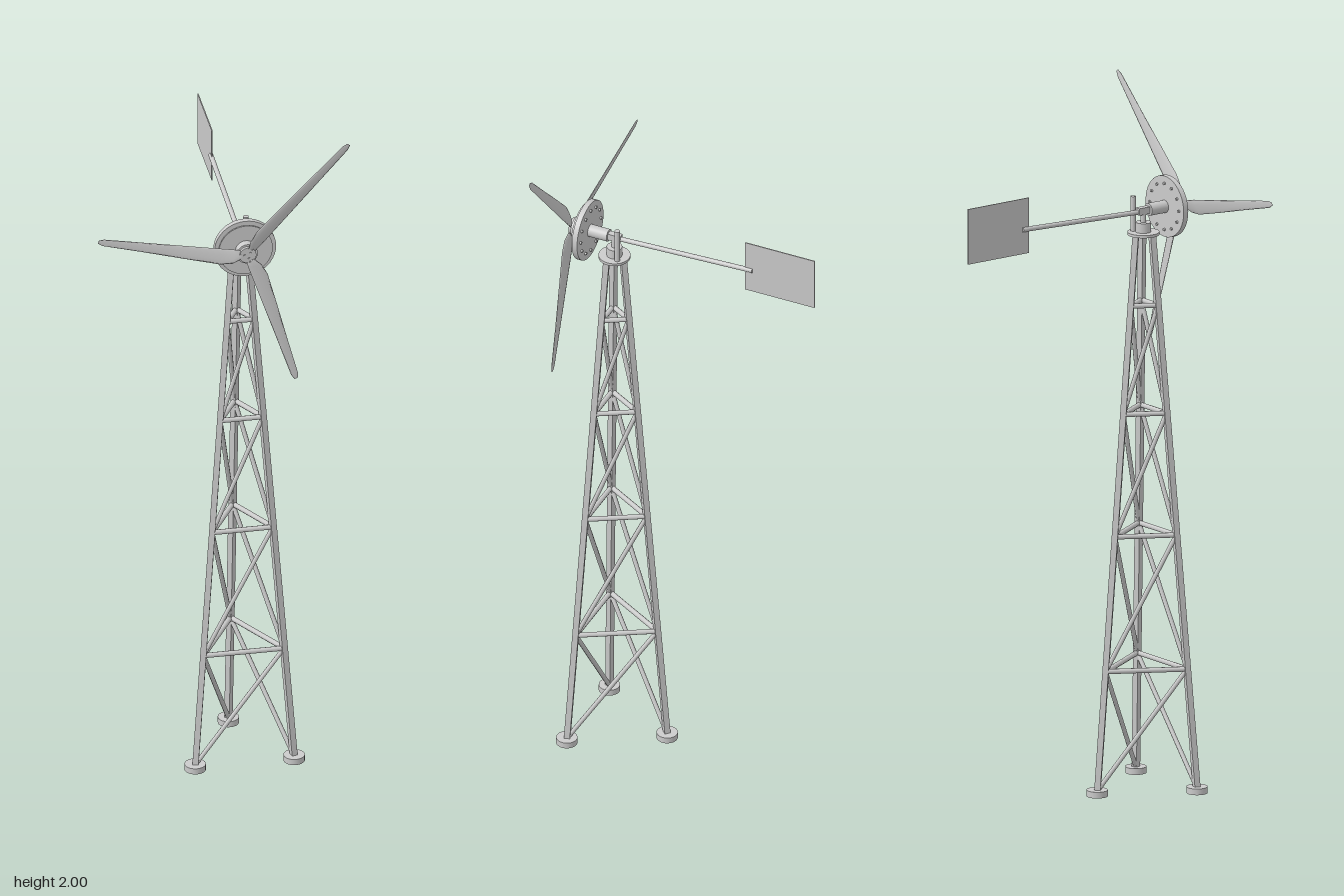
import * as THREE from 'three';

const CX = 0.0685, CZ = 0.24, HUB_Y = 1.67;
const V = (x, y, z) => new THREE.Vector3(x, y, z);
const smooth = new THREE.MeshStandardMaterial({ color: 0xcccccc });
const flat = new THREE.MeshStandardMaterial({ color: 0xcccccc, flatShading: true });

function add(parent, name, geometry, material = smooth, position) {
  const mesh = new THREE.Mesh(geometry, material);
  mesh.name = name;
  if (position) mesh.position.copy(position);
  parent.add(mesh);
  return mesh;
}

// Bar between two points
function bar(parent, name, a, b, radius, sides) {
  const geometry = new THREE.CylinderGeometry(radius, radius, a.distanceTo(b), sides);
  const mesh = add(parent, name, geometry, sides < 8 ? flat : smooth, a.clone().add(b).multiplyScalar(0.5));
  mesh.quaternion.setFromUnitVectors(V(0, 1, 0), b.clone().sub(a).normalize());
  return mesh;
}

// Cylinder along z
const disc = (parent, name, r, z0, z1, x = 0, y = 0, sides = 40) =>
  add(parent, name, new THREE.CylinderGeometry(r, r, z1 - z0, sides).rotateX(Math.PI / 2), smooth, V(x, y, (z0 + z1) / 2));

// Tower legs: front left, front right, back
const legAngle = (i) => Math.PI / 6 + i * Math.PI * 2 / 3;

// Point on a tower leg at a given height
function legPoint(i, y) {
  const r = 0.163 - 0.085 * y;
  return V(CX + Math.cos(legAngle(i)) * r, y, CZ + Math.sin(legAngle(i)) * r);
}

function makeTower() {
  const tower = new THREE.Group();
  tower.name = 'tower';
  const levels = [0.015, 0.355, 0.74, 1.09, 1.4];
  for (let i = 0; i < 3; i++) {
    const j = (i + 1) % 3;
    const foot = legPoint(i, 0);
    add(tower, 'foot', new THREE.CylinderGeometry(0.03, 0.03, 0.018, 24), smooth, V(foot.x, 0.009, foot.z));
    bar(tower, 'leg', legPoint(i, 0.01), legPoint(i, 1.605), 0.012, 4).rotateY(Math.PI / 2 - legAngle(i));
    // Horizontal tie and one diagonal per panel of each face
    for (let k = 1; k < levels.length; k++) {
      bar(tower, 'crossTie', legPoint(i, levels[k]), legPoint(j, levels[k]), 0.0075, 8);
      bar(tower, 'diagonalBrace', legPoint(j, levels[k - 1]), legPoint(i, levels[k]), 0.0065, 8);
    }
  }
  add(tower, 'topPlate', new THREE.CylinderGeometry(0.045, 0.045, 0.008, 32), smooth, V(CX, 1.605, CZ));
  return tower;
}

// Twisted, tapered blade along +x, lofted from lens-shaped sections
function bladeGeometry() {
  // radius, narrow edge, wide edge, twist slope, half thickness
  const sections = [
    [0.018, -0.010, 0.014, 0.34, 0.003],
    [0.04, -0.011, 0.027, 0.34, 0.003],
    [0.075, -0.011, 0.033, 0.26, 0.003],
    [0.18, -0.010, 0.027, 0.21, 0.0022],
    [0.30, -0.009, 0.019, 0.15, 0.0016],
    [0.42, -0.008, 0.012, 0.06, 0.001],
    [0.435, -0.003, 0.006, 0.04, 0.0006],
  ];
  const n = 10, pos = [], index = [];
  for (const [r, lo, hi, slope, t] of sections) {
    for (let i = 0; i < n; i++) {
      const a = i / n * Math.PI * 2;
      const y = (lo + hi) / 2 + Math.cos(a) * (hi - lo) / 2;
      pos.push(r, y, y * slope + Math.sin(a) * t);
    }
  }
  for (let s = 0; s < sections.length - 1; s++) {
    for (let i = 0; i < n; i++) {
      const a = s * n + i, b = s * n + (i + 1) % n;
      index.push(a, b, a + n, b, b + n, a + n);
    }
  }
  const last = (sections.length - 1) * n;
  for (let i = 1; i < n - 1; i++) {
    index.push(0, i + 1, i, last, last + i, last + i + 1);
  }
  const geometry = new THREE.BufferGeometry();
  geometry.setAttribute('position', new THREE.Float32BufferAttribute(pos, 3));
  geometry.setIndex(index);
  geometry.computeVertexNormals();
  return geometry;
}

function makeRotor() {
  const rotor = new THREE.Group();
  rotor.name = 'rotor';
  rotor.position.set(CX, HUB_Y, 0);
  // Generator discs and shafts
  disc(rotor, 'generatorHousing', 0.018, 0.257, 0.315);
  disc(rotor, 'generatorDisc', 0.088, 0.315, 0.331);
  disc(rotor, 'frontDisc', 0.077, 0.335, 0.339);
  disc(rotor, 'shaft', 0.03, 0.331, 0.362);
  disc(rotor, 'hubPlate', 0.024, 0.362, 0.371);
  for (let i = 0; i < 12; i++) {
    const a = i / 12 * Math.PI * 2;
    disc(rotor, 'discBolt', 0.004, 0.31, 0.337, Math.cos(a) * 0.067, Math.sin(a) * 0.067, 8);
  }
  const geometry = bladeGeometry();
  for (let i = 0; i < 3; i++) {
    const a = THREE.MathUtils.degToRad(48.3 + i * 120);
    add(rotor, 'blade', geometry, smooth, V(0, 0, 0.368)).rotation.z = a;
    for (const r of [0.01, 0.022]) {
      disc(rotor, 'bladeBolt', 0.003, 0.365, 0.374, Math.cos(a) * r, Math.sin(a) * r, 6);
    }
  }
  return rotor;
}

function makeHead() {
  const head = new THREE.Group();
  head.name = 'yawHead';
  add(head, 'yawBearing', new THREE.CylinderGeometry(0.022, 0.022, 0.03, 24), smooth, V(CX, 1.622, CZ));
  add(head, 'yawPost', new THREE.CylinderGeometry(0.008, 0.008, 0.04, 16), smooth, V(CX, 1.65, CZ));
  add(head, 'bracket', new THREE.BoxGeometry(0.018, 0.02, 0.042), flat, V(CX, HUB_Y, 0.24));
  add(head, 'hingePin', new THREE.CylinderGeometry(0.008, 0.008, 0.1, 16), smooth, V(0.091, 1.66, 0.221));
  // Tail
  bar(head, 'tailBoom', V(CX, 1.668, 0.225), V(CX, 1.682, -0.187), 0.007, 16);
  add(head, 'tailVane', new THREE.BoxGeometry(0.003, 0.16, 0.214), flat, V(CX, 1.692, -0.272));
  return head;
}

export function createModel() {
  const model = new THREE.Group();
  model.name = 'windTurbine';
  model.add(makeTower(), makeHead(), makeRotor());
  return model;
}
